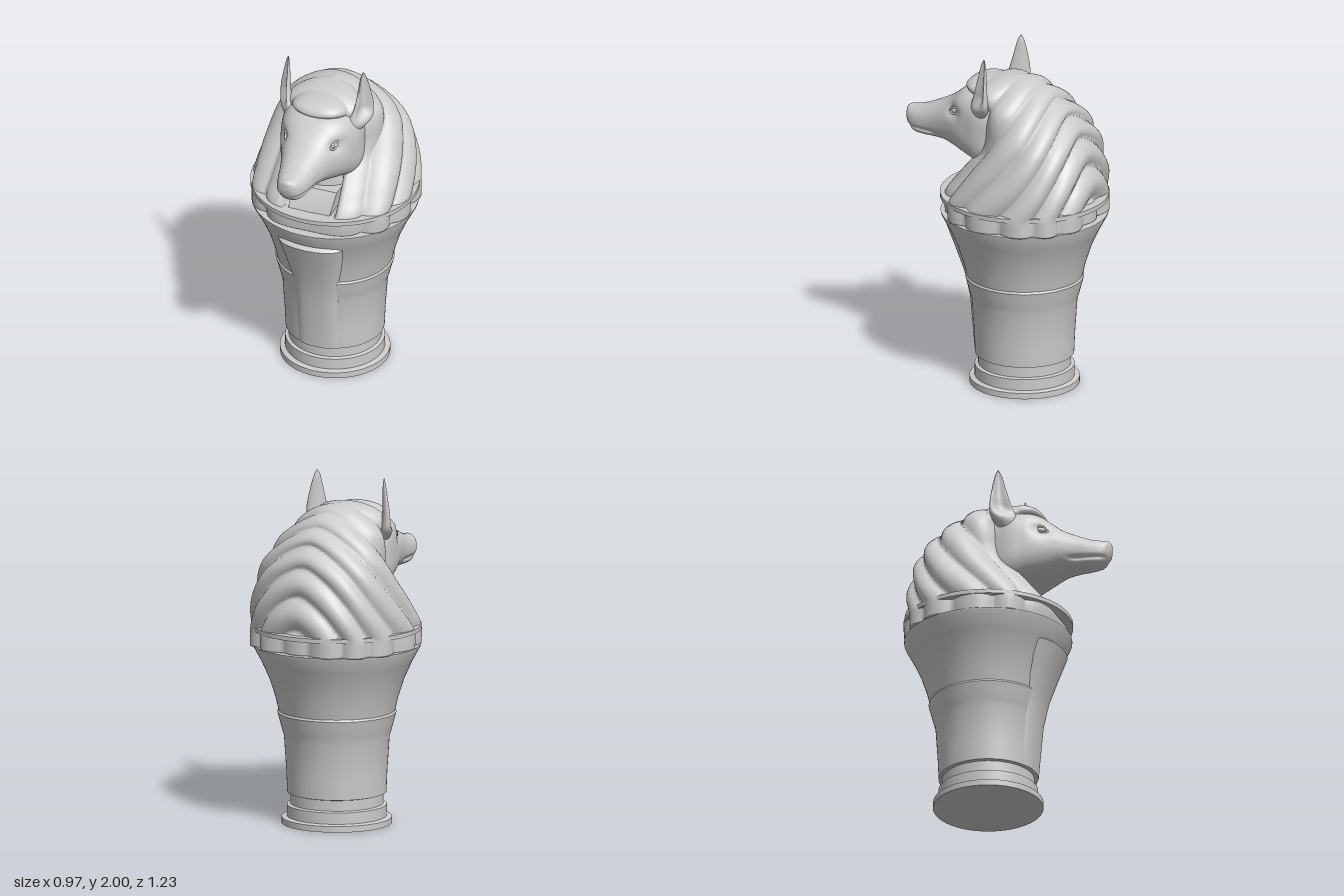
import * as THREE from 'three';
import { toCreasedNormals } from 'three/addons/utils/BufferGeometryUtils.js';

const AXIS = -0.13; // z of the jar's axis
const material = new THREE.MeshStandardMaterial({ color: 0xcccccc });
const { smoothstep } = THREE.MathUtils;

function add(parent, name, geometry) {
  const mesh = new THREE.Mesh(geometry, material);
  mesh.name = name;
  parent.add(mesh);
  return mesh;
}

// Smoothly resample rows of section sizes
function resample(rows, count) {
  const at = (i) => rows[Math.min(Math.max(i, 0), rows.length - 1)];
  return Array.from({ length: count }, (_, k) => {
    const u = (k / (count - 1)) * (rows.length - 1);
    const i = Math.min(Math.floor(u), rows.length - 2), t = u - i;
    return rows[0].map((_, c) => {
      const [a, b, d, e] = [at(i - 1)[c], at(i)[c], at(i + 1)[c], at(i + 2)[c]];
      return b + 0.5 * t * (d - a + t * (2 * a - 5 * b + 4 * d - e + t * (3 * (b - d) + e - a)));
    });
  });
}

// Skin over closed rings of points, with both ends filled
function loft(rings) {
  const n = rings[0].length, m = rings.length, index = [];
  const points = rings.flat();
  for (let i = 0; i < m - 1; i++) {
    for (let j = 0; j < n; j++) {
      const a = i * n + j, b = i * n + (j + 1) % n;
      index.push(a, b, b + n, a, b + n, a + n);
    }
  }
  for (const [ring, last] of [[0, false], [m - 1, true]]) {
    const centre = new THREE.Vector3();
    rings[ring].forEach((p) => centre.addScaledVector(p, 1 / n));
    const c = points.push(centre) - 1;
    for (let j = 0; j < n; j++) {
      const a = ring * n + j, b = ring * n + (j + 1) % n;
      if (last) index.push(a, b, c);
      else index.push(b, a, c);
    }
  }
  const geometry = new THREE.BufferGeometry().setFromPoints(points);
  geometry.setIndex(index);
  geometry.computeVertexNormals();
  return geometry;
}

const ring = (n, point) => Array.from({ length: n }, (_, j) => point((j / n) * Math.PI * 2));
const power = (v, e) => Math.sign(v) * Math.abs(v) ** e;
const bell = (d, w) => Math.exp(-((d / w) ** 2));

function lathe(profile) {
  const geometry = new THREE.LatheGeometry(profile.map(([r, y]) => new THREE.Vector2(r, y)), 72);
  return toCreasedNormals(geometry, 0.5).translate(0, 0, AXIS);
}

// Headdress: broad swept strands that form chevrons down the back
function hairGeometry() {
  const rows = resample([ // y, half width, back z, front z
    [1.04, 0.46, -0.575, 0.285], [1.15, 0.46, -0.575, 0.285], [1.25, 0.447, -0.57, 0.215],
    [1.35, 0.424, -0.55, 0.135], [1.45, 0.392, -0.525, 0.06], [1.55, 0.352, -0.485, 0.03],
    [1.65, 0.298, -0.425, 0.06], [1.72, 0.255, -0.365, 0.15], [1.775, 0.21, -0.3, 0.215],
    [1.815, 0.155, -0.24, 0.17], [1.84, 0.09, -0.18, 0.05], [1.855, 0.004, -0.11, -0.1],
  ], 90);
  return loft(rows.map(([y, w, back, front]) => ring(176, (a) => {
    const e = 2 / (y < 1.5 ? 2.4 : 2.4 - Math.min(0.4, (y - 1.5) * 2));
    let x = power(Math.sin(a), e) * w;
    let z = (back + front) / 2 + power(Math.cos(a), e) * (front - back) / 2;
    const slant = 0.7 - 0.9 * smoothstep(z, -0.55, 0.25);
    const sweep = Math.max(y, 1.14) + 1.7 * z + slant * Math.sqrt(x * x + 0.003);
    const strength = Math.min(1, w / 0.2) * (1 - 0.5 * smoothstep(y, 1.65, 1.8));
    const puff = (Math.abs(Math.sin(sweep * Math.PI / 0.24)) ** 0.8 - 0.6) * 0.042 * strength;
    x += Math.sin(a) * puff;
    z += Math.cos(a) * puff;
    // Opening between the front lappets
    if (z > -0.1 && y < 1.5) {
      const gap = smoothstep(0.17 - Math.abs(x), 0, 0.05) * smoothstep(y, 1.14, 1.17);
      z -= gap * Math.max(0, z - 0.05);
    }
    return new THREE.Vector3(x, y + puff * 0.6 * smoothstep(y, 1.65, 1.82), z);
  })));
}

// Head: sections run from the skull to the tip of the snout
function headGeometry() {
  const rows = resample([ // z, half width, top, bottom
    [-0.1, 0.22, 1.74, 1.3], [0.05, 0.24, 1.765, 1.31], [0.15, 0.22, 1.765, 1.345],
    [0.22, 0.196, 1.745, 1.365], [0.28, 0.167, 1.7, 1.38], [0.34, 0.142, 1.655, 1.395],
    [0.42, 0.115, 1.615, 1.4], [0.5, 0.096, 1.58, 1.4], [0.56, 0.078, 1.565, 1.41],
    [0.6, 0.053, 1.555, 1.45], [0.617, 0.015, 1.535, 1.5],
  ], 70);
  return loft(rows.map(([z, w, top, bottom]) => ring(96, (a) => {
    const e = 2 / (3.2 - 0.9 * smoothstep(z, 0.1, 0.35));
    const y = (top + bottom) / 2 + power(Math.sin(a), e) * (top - bottom) / 2;
    let x = power(Math.cos(a), e) * w;
    x *= 1 - 0.17 * bell(z - 0.25, 0.05) * bell(y - 1.625, 0.04); // eye socket
    x *= 1 - 0.16 * smoothstep(z, 0.36, 0.44) * bell(y - 1.447, 0.012); // mouth
    return new THREE.Vector3(x, y, z);
  })));
}

// Tall pointed ear, hollow on its outer front face
function earGeometry() {
  const rows = resample([ // y, centre x, centre z, half length, half thickness
    [1.61, 0.17, 0.07, 0.04, 0.03], [1.7, 0.222, 0.045, 0.078, 0.04],
    [1.78, 0.243, 0.03, 0.064, 0.034], [1.88, 0.24, 0.02, 0.042, 0.022],
    [1.96, 0.234, 0.015, 0.022, 0.013], [2, 0.231, 0.012, 0.004, 0.003],
  ], 30);
  return loft(rows.map(([y, cx, cz, length, thick]) => ring(40, (a) => {
    const u = Math.cos(a) * length;
    let v = -Math.sin(a) * thick;
    if (v > 0) v *= 1 - 1.5 * Math.sin(a) ** 2 * smoothstep(y, 1.68, 1.78);
    return new THREE.Vector3(cx + 0.6 * u + 0.8 * v, y, cz - 0.8 * u + 0.6 * v);
  })));
}

// Raised panel down the front of the jar
function panelGeometry() {
  const rows = [ // y, half width, front z
    [0.18, 0.135, 0.157], [0.5, 0.137, 0.187], [0.65, 0.15, 0.222],
    [0.8, 0.178, 0.277], [0.925, 0.205, 0.326], [0.945, 0.205, 0.3],
  ];
  return toCreasedNormals(loft(rows.map(([y, w, front]) => ring(64, (a) => {
    const x = power(Math.sin(a), 0.45) * w;
    return new THREE.Vector3(x, y, front - 0.1 + power(Math.cos(a), 0.45) * 0.1 - x * x * 1.2);
  }))), 0.6);
}

// Sloping breast between the lappets
function chestGeometry() {
  const rows = [[1.04, 0.14, 0.29], [1.15, 0.125, 0.27], [1.27, 0.14, 0.19]]; // y, half width, front z
  return toCreasedNormals(loft(rows.map(([y, w, front]) => [
    [-w, front], [w, front], [w, -0.1], [-w, -0.1],
  ].map(([x, z]) => new THREE.Vector3(x, y, z)))), 0.5);
}

export function createModel() {
  const model = new THREE.Group();
  model.name = 'jackalJar';

  // Stepped foot and flaring body
  add(model, 'jarBody', lathe([
    [0, 0], [0.315, 0], [0.315, 0.035], [0.285, 0.042], [0.285, 0.108], [0.265, 0.114],
    [0.265, 0.175], [0.283, 0.18], [0.288, 0.3], [0.302, 0.51], [0.312, 0.54], [0.328, 0.6],
    [0.34, 0.645], [0.333, 0.657], [0.35, 0.73], [0.385, 0.84], [0.43, 0.94], [0.478, 1.03],
    [0.48, 1.042], [0, 1.042],
  ]));
  add(model, 'frontPanel', panelGeometry());
  add(model, 'lidRim', lathe([
    [0.4, 1.13], [0.484, 1.13], [0.484, 1.155], [0.4, 1.155], [0.4, 1.13],
  ]));

  // Lid
  add(model, 'headdress', hairGeometry());
  add(model, 'neck', new THREE.CylinderGeometry(0.16, 0.19, 0.36, 40).translate(0, 1.26, -0.025));
  add(model, 'chest', chestGeometry());

  // Head
  const head = new THREE.Group();
  head.name = 'head';
  model.add(head);
  add(head, 'face', headGeometry());
  const nose = add(head, 'nose', new THREE.SphereGeometry(1, 24, 16));
  nose.scale.set(0.043, 0.03, 0.03);
  nose.position.set(0, 1.532, 0.588);

  for (const [side, s] of [['left', 1], ['right', -1]]) {
    const half = new THREE.Group();
    half.name = side + 'Features';
    half.scale.x = s;
    head.add(half);
    add(half, side + 'Ear', earGeometry());
    const eye = add(half, side + 'Eye', new THREE.SphereGeometry(1, 24, 16));
    eye.scale.set(0.016, 0.016, 0.03);
    eye.position.set(0.146, 1.627, 0.243);
    eye.rotation.y = -0.35;
    // Lids above and below the eye
    for (const [lid, rise] of [['UpperLid', 0.022], ['LowerLid', -0.018]]) {
      const path = new THREE.QuadraticBezierCurve3(
        new THREE.Vector3(0.166, 1.63, 0.205),
        new THREE.Vector3(0.158, 1.627 + rise * 2, 0.245),
        new THREE.Vector3(0.138, 1.617, 0.28));
      add(half, side + lid, new THREE.TubeGeometry(path, 16, 0.006, 8));
    }
  }
  return model;
}
